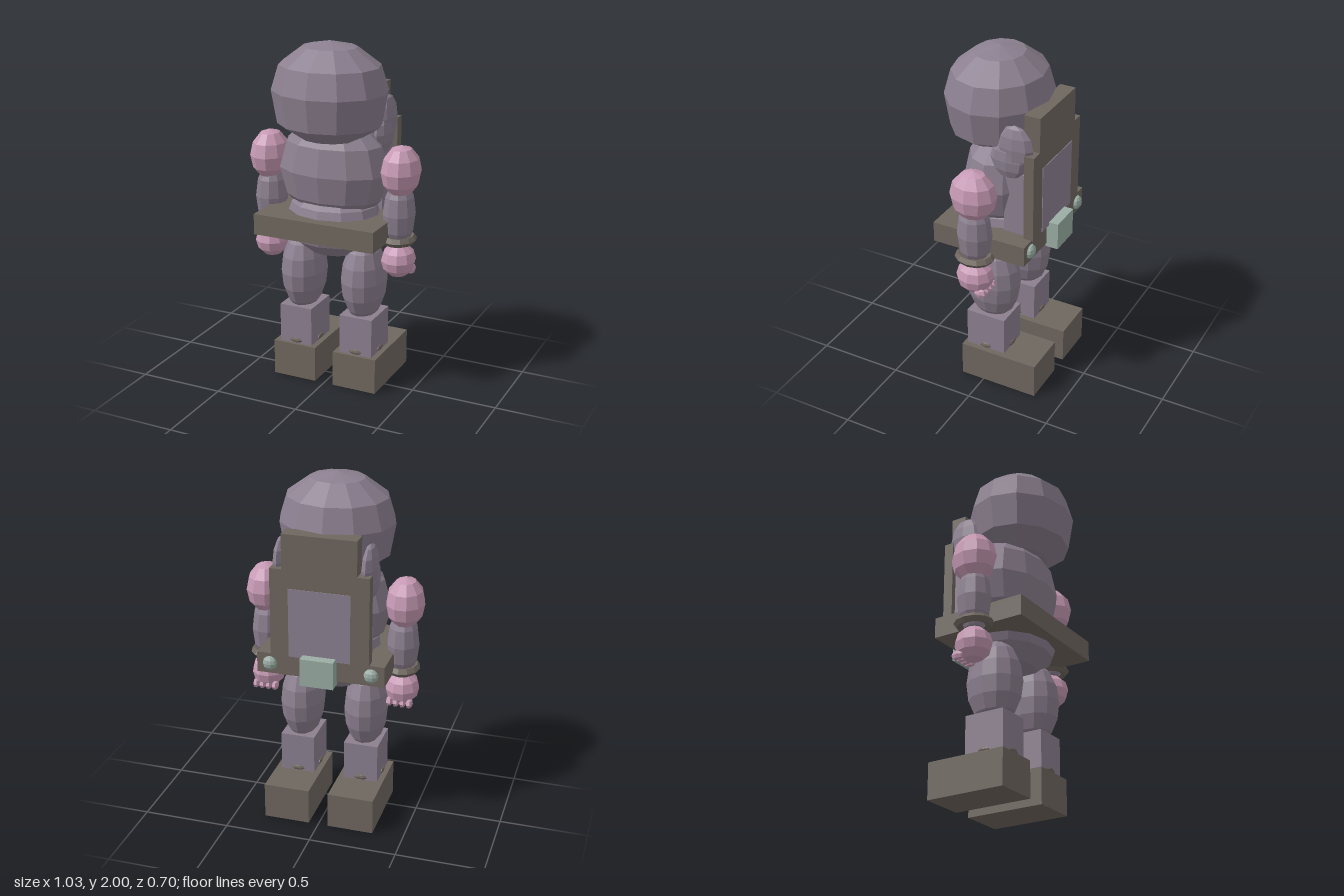
import * as THREE from 'three';

const mat = (name, color) => {
  const m = new THREE.MeshStandardMaterial({ color, flatShading: true });
  m.name = name;
  return m;
};

export function createModel() {
  const root = new THREE.Group();
  root.name = 'armouredFigure';
  const plum = mat('dusty plum', 0x8c8090);
  const pink = mat('pink', 0xc79ab5);
  const brown = mat('grey brown', 0x6f675f);
  const teal = mat('pale teal', 0x9aada4);

  const add = (parent, name, geo, material, [x, y, z]) => {
    const m = new THREE.Mesh(geo, material);
    m.name = name;
    m.position.set(x, y, z);
    parent.add(m);
    return m;
  };
  // box from its minimum and maximum corners
  const box = (parent, name, material, a, b) =>
    add(parent, name, new THREE.BoxGeometry(b[0] - a[0], b[1] - a[1], b[2] - a[2]), material,
      [(a[0] + b[0]) / 2, (a[1] + b[1]) / 2, (a[2] + b[2]) / 2]);
  // faceted ellipsoid
  const ball = (parent, name, material, c, r, w = 12, h = 6) =>
    add(parent, name, new THREE.SphereGeometry(1, w, h).scale(...r), material, c);

  // head: rounded crown over a shallow chin
  const profile = [[0, 1.43], [0.165, 1.462], [0.297, 1.545], [0.33, 1.73], [0.287, 1.87], [0.155, 1.968], [0, 2]]
    .map(([r, y]) => new THREE.Vector2(r, y));
  add(root, 'head', new THREE.LatheGeometry(profile, 12).scale(1, 1, 0.893), plum, [0, 0, 0.055]);

  // trunk
  ball(root, 'chest', plum, [0, 1.27, 0], [0.33, 0.31, 0.22]);
  ball(root, 'belly', plum, [0, 0.97, 0], [0.29, 0.21, 0.24]);

  // belt with its buckle
  box(root, 'belt', brown, [-0.365, 0.91, -0.283], [0.365, 1.03, 0.28]);
  box(root, 'buckle', teal, [-0.095, 0.89, -0.353], [0.095, 1.05, -0.278]);

  // back plate
  box(root, 'backPlateLower', brown, [-0.28, 1.03, -0.293], [0.28, 1.537, -0.235]);
  box(root, 'backPlateUpper', brown, [-0.21, 1.537, -0.293], [0.21, 1.737, -0.2]);
  box(root, 'backPadding', plum, [-0.25, 1.03, -0.235], [0.25, 1.4, -0.1]);
  box(root, 'backPanel', plum, [-0.175, 1.031, -0.297], [0.175, 1.43, -0.292]);

  for (const s of [1, -1]) {
    const side = s > 0 ? 'left' : 'right';

    // belt stud and shoulder pouch
    ball(root, side + 'BeltStud', teal, [s * 0.29, 0.97, -0.283], [0.042, 0.042, 0.03], 10, 6);
    ball(root, side + 'PouchUpper', plum, [s * 0.247, 1.555, -0.165], [0.042, 0.13, 0.108], 8, 6);
    ball(root, side + 'PouchLower', plum, [s * 0.247, 1.475, -0.13], [0.042, 0.11, 0.112], 8, 6);

    // arm
    const arm = new THREE.Group();
    arm.name = side + 'Arm';
    arm.position.x = s * 0.398;
    root.add(arm);
    ball(arm, 'shoulder', pink, [s * 0.007, 1.305, 0], [0.11, 0.147, 0.134], 10, 6);
    ball(arm, 'forearm', plum, [0, 1.06, 0], [0.092, 0.2, 0.1], 10, 6);
    add(arm, 'cuff', new THREE.TorusGeometry(0.08, 0.025, 5, 12).rotateX(Math.PI / 2).scale(0.95, 1, 1.1), brown, [0, 0.915, 0]);
    ball(arm, 'hand', pink, [0, 0.79, 0], [0.098, 0.1, 0.108], 10, 6);
    for (let i = 0; i < 4; i++) {
      ball(arm, 'finger', pink, [(i - 1.5) * 0.038, 0.72, -0.062], [0.021, 0.028, 0.04], 6, 4);
    }

    // leg
    const leg = new THREE.Group();
    leg.name = side + 'Leg';
    leg.position.x = s * 0.19;
    root.add(leg);
    ball(leg, 'thigh', plum, [0, 0.64, 0], [0.126, 0.25, 0.166], 12, 8);
    box(leg, 'shin', plum, [-0.1, 0.2, -0.12], [0.1, 0.44, 0.12]);
    box(leg, 'boot', brown, [-0.133, 0, -0.333], [0.133, 0.21, 0.14]);
    // rivets round the ankle
    for (const [x, z] of [[0.1, 0], [-0.1, 0], [0, 0.12], [0, -0.12]]) {
      ball(leg, 'rivet', brown, [x, 0.228, z], [x ? 0.012 : 0.04, 0.016, x ? 0.04 : 0.012], 6, 4);
    }
  }
  return root;
}
